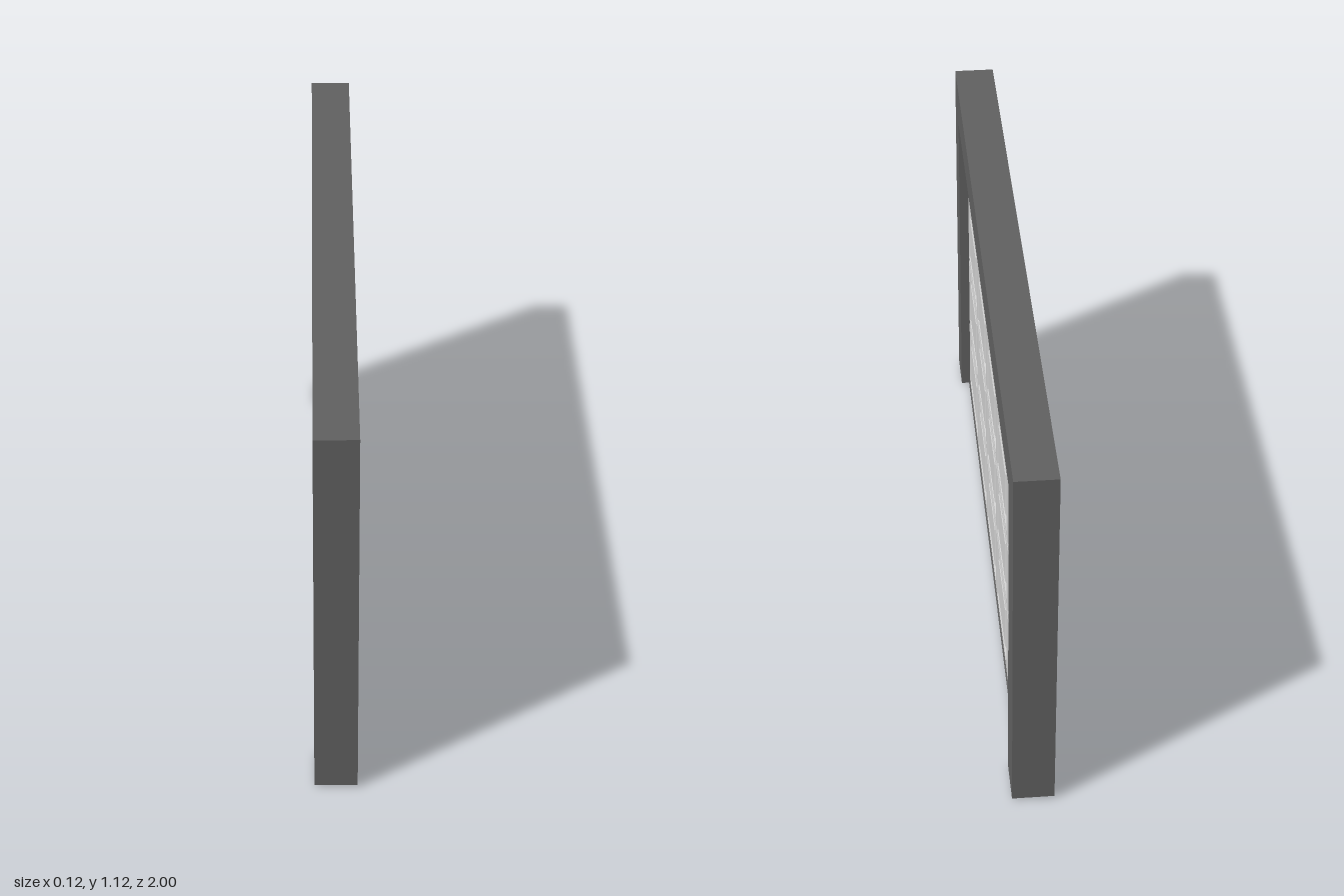
import * as THREE from 'three';
import { mergeGeometries } from 'three/addons/utils/BufferGeometryUtils.js';

const FRAME_DEPTH = 0.116, HALF_OPENING = 0.875, BASE = 0.007, LINTEL = 1.005;
const COLUMNS = 5, ROWS = 4;
const CELL_W = (2 * HALF_OPENING) / COLUMNS, CELL_H = (LINTEL - BASE) / ROWS;

// Concentric rectangles [half width, half height, relief] joined into one pressed panel
function panelGeometry(rings) {
  const pos = [];
  const corners = ([w, h, z]) => [[-w, -h, z], [w, -h, z], [w, h, z], [-w, h, z]];
  const quad = (a, b, c, d) => pos.push(...a, ...b, ...c, ...a, ...c, ...d);
  for (let r = 0; r < rings.length - 1; r++) {
    const outer = corners(rings[r]), inner = corners(rings[r + 1]);
    for (let i = 0; i < 4; i++) {
      const j = (i + 1) % 4;
      quad(outer[i], outer[j], inner[j], inner[i]);
    }
  }
  quad(...corners(rings[rings.length - 1]));
  const geo = new THREE.BufferGeometry();
  geo.setAttribute('position', new THREE.Float32BufferAttribute(pos, 3));
  geo.computeVertexNormals();
  return geo;
}

export function createModel() {
  const group = new THREE.Group();
  const light = new THREE.MeshStandardMaterial({ color: 0xcccccc });
  const dark = new THREE.MeshStandardMaterial({ color: 0x606060 });
  const add = (name, geo, mat) => {
    const mesh = new THREE.Mesh(geo, mat);
    mesh.name = name;
    group.add(mesh);
    return mesh;
  };

  // Surround: two jambs and a lintel
  const outline = new THREE.Shape([
    [-1, BASE], [-HALF_OPENING, BASE], [-HALF_OPENING, LINTEL], [HALF_OPENING, LINTEL],
    [HALF_OPENING, BASE], [1, BASE], [1, 1.122], [-1, 1.122],
  ].map(([x, y]) => new THREE.Vector2(x, y)));
  const frame = new THREE.ExtrudeGeometry(outline, { depth: FRAME_DEPTH, bevelEnabled: false });
  frame.translate(0, 0, -FRAME_DEPTH / 2).rotateY(Math.PI / 2);
  add('doorFrame', frame, dark);

  // Door leaf with a plain inner face
  const leaf = new THREE.BoxGeometry(0.045, LINTEL - BASE, 2 * HALF_OPENING);
  leaf.translate(-0.0075, (LINTEL + BASE) / 2, 0);
  add('doorLeaf', leaf, light);

  // Pressed panels: section joint, border, groove and raised field
  const w = CELL_W / 2, h = CELL_H / 2;
  const panel = panelGeometry([
    [w, h, 0.025], [w, h - 0.008, 0.03], [0.15, 0.1, 0.03], [0.142, 0.092, 0.021],
    [0.125, 0.08, 0.021], [0.107, 0.069, 0.03],
  ]).rotateY(Math.PI / 2);
  const cells = [];
  for (let row = 0; row < ROWS; row++) {
    for (let col = 0; col < COLUMNS; col++) {
      cells.push(panel.clone().translate(
        0, BASE + (row + 0.5) * CELL_H, (col - (COLUMNS - 1) / 2) * CELL_W));
    }
  }
  add('pressedPanels', mergeGeometries(cells), light);

  // Shallow curved seal along the bottom edge
  const sealShape = new THREE.Shape();
  sealShape.moveTo(-0.034, BASE);
  sealShape.quadraticCurveTo(0, -BASE, 0.034, BASE);
  sealShape.closePath();
  const seal = new THREE.ExtrudeGeometry(sealShape, {
    depth: 2 * HALF_OPENING, bevelEnabled: false, curveSegments: 8,
  }).translate(0, 0, -HALF_OPENING);
  add('bottomSeal', seal, dark);

  return group;
}
